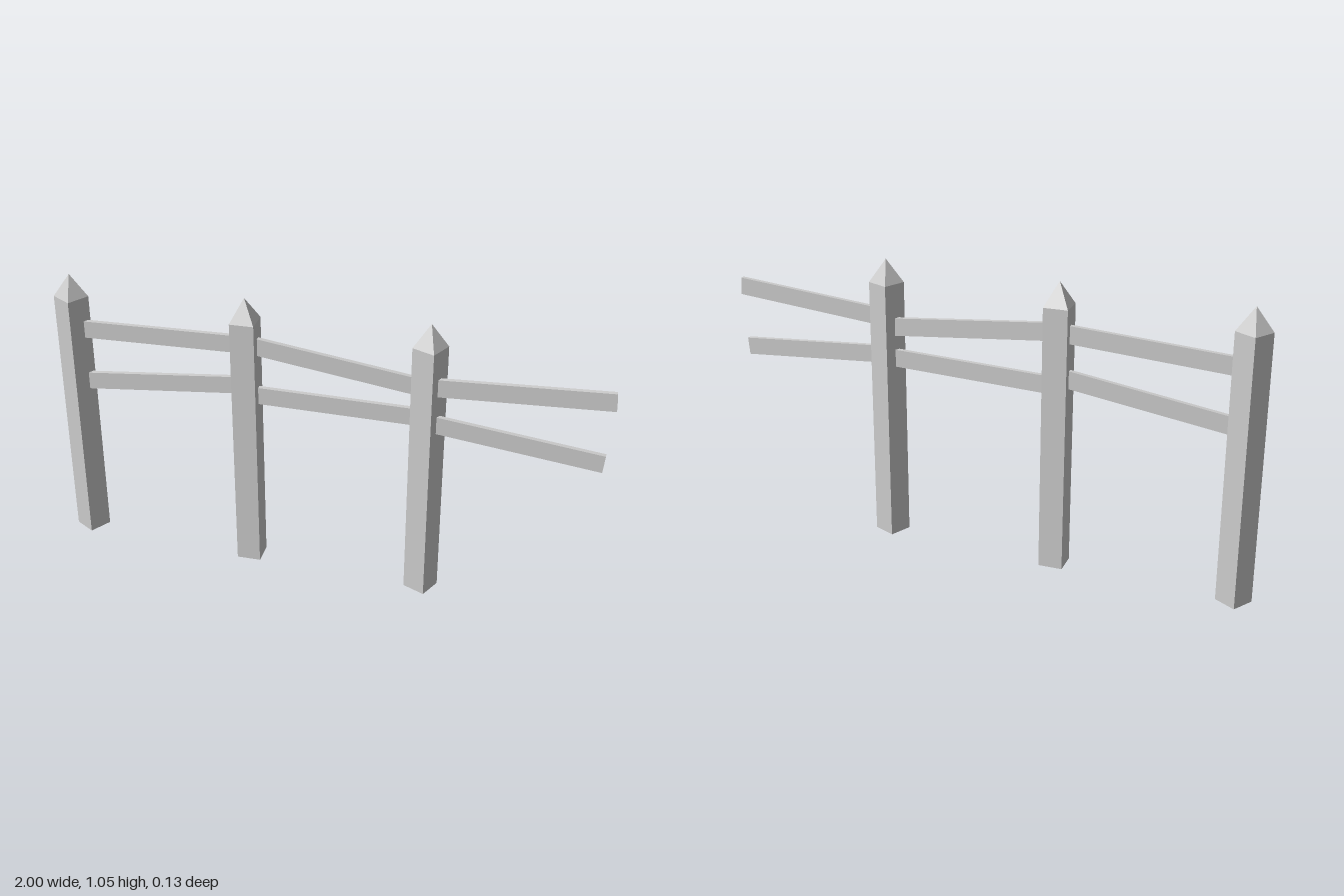
import * as THREE from 'three';

const material = new THREE.MeshStandardMaterial({
  color: 0xcccccc, flatShading: true, side: THREE.DoubleSide,
});

const POST_SIDE = 0.087, RAIL_HEIGHT = 0.064, RAIL_DEPTH = 0.017;

// Square post with a pointed top, open underneath
function postGeometry() {
  const r = POST_SIDE * Math.SQRT1_2;
  const profile = [[r, 0], [r, 0.965], [0, 1.05]].map(([x, y]) => new THREE.Vector2(x, y));
  return new THREE.LatheGeometry(profile, 4, Math.PI / 4);
}

// Unit square sleeve along x, open at both ends
function railGeometry() {
  const r = Math.SQRT1_2;
  return new THREE.CylinderGeometry(r, r, 1, 4, 1, true, Math.PI / 4).rotateZ(Math.PI / 2);
}

export function createModel() {
  const group = new THREE.Group();

  // Posts: name, x, z, twist about the vertical
  const postGeo = postGeometry();
  for (const [name, x, z, twist] of [
    ['rightPost', -0.94, -0.004, -0.5],
    ['middlePost', -0.28, 0, 0.06],
    ['leftPost', 0.376, 0.006, -0.376],
  ]) {
    const post = new THREE.Mesh(postGeo, material);
    post.name = name;
    post.position.set(x, 0, z);
    post.rotation.y = twist;
    group.add(post);
  }

  // Crooked rails: name, start x and y, end x and y, z
  const railGeo = railGeometry();
  for (const [name, x0, y0, x1, y1, z] of [
    ['rightUpperRail', -0.93, 0.842, -0.29, 0.872, -0.004],
    ['rightLowerRail', -0.93, 0.633, -0.29, 0.714, -0.004],
    ['middleUpperRail', -0.27, 0.874, 0.36, 0.806, -0.004],
    ['middleLowerRail', -0.27, 0.68, 0.36, 0.692, -0.004],
    ['leftUpperRail', 0.37, 0.826, 0.997, 0.872, 0.024],
    ['leftLowerRail', 0.37, 0.691, 0.98, 0.638, 0.024],
  ]) {
    const rail = new THREE.Mesh(railGeo, material);
    rail.name = name;
    rail.position.set((x0 + x1) / 2, (y0 + y1) / 2, z);
    rail.rotation.z = Math.atan2(y1 - y0, x1 - x0);
    rail.scale.set(Math.hypot(x1 - x0, y1 - y0), RAIL_HEIGHT, RAIL_DEPTH);
    group.add(rail);
  }

  return group;
}
